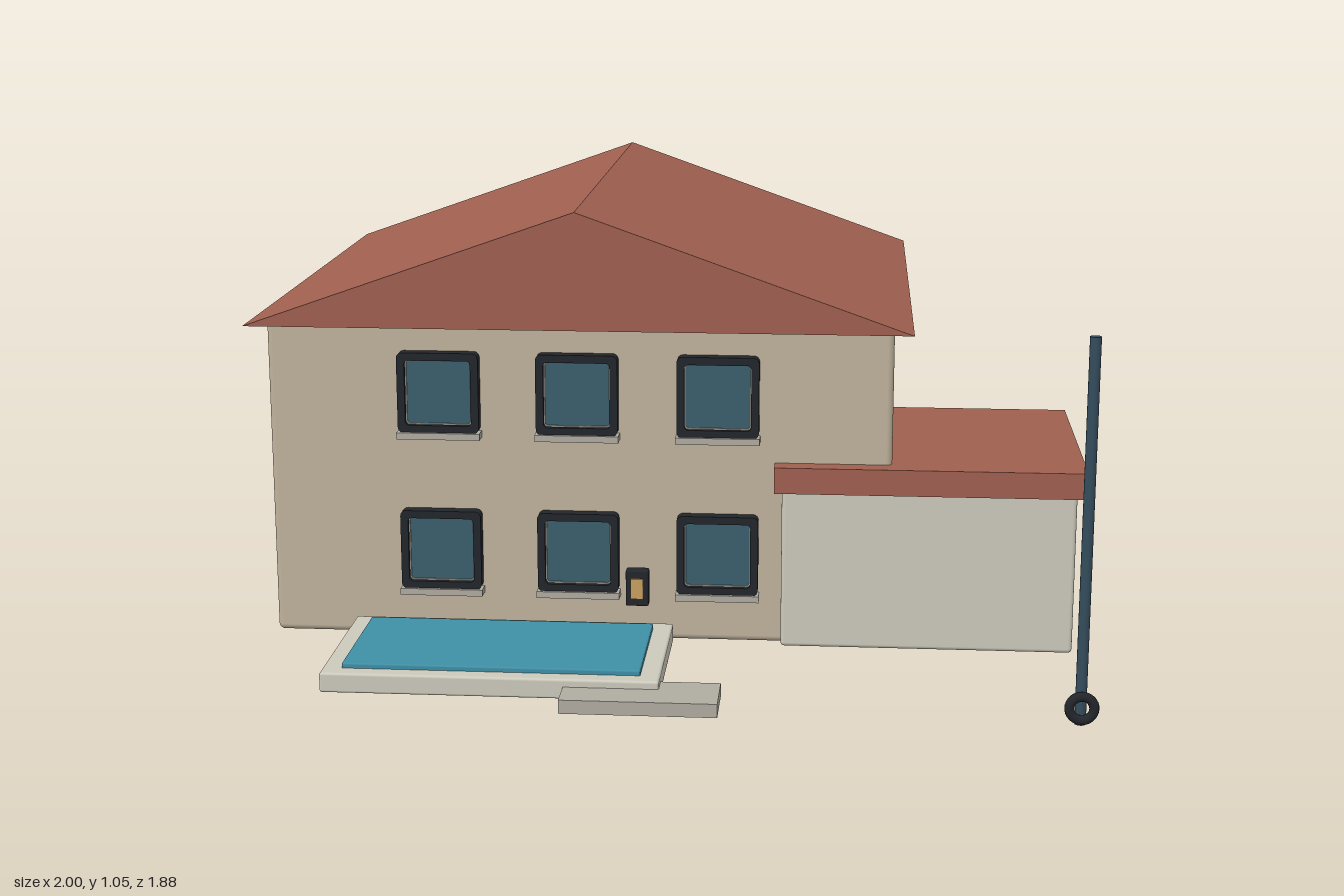
import * as THREE from 'three';
import { RoundedBoxGeometry } from 'three/addons/geometries/RoundedBoxGeometry.js';

const mat = (color) => new THREE.MeshStandardMaterial({ color });
const M = {
  wall: mat(0xc0b29c), roof: mat(0xa06050), garage: mat(0xcccabc), dark: mat(0x22252a),
  glass: mat(0x3a5f6c), trim: mat(0xb0aca2), water: mat(0x3f8fa6), pole: mat(0x344c5c), amber: mat(0xc8a060),
};

export function createModel() {
  const group = new THREE.Group();

  const add = (name, geometry, material, parent = group) => {
    const mesh = new THREE.Mesh(geometry, material);
    mesh.name = name;
    parent.add(mesh);
    return mesh;
  };

  // Box given by its extents; r > 0 rounds the edges
  const block = (name, material, [x0, x1], [y0, y1], [z0, z1], r = 0, parent = group) => {
    const s = [x1 - x0, y1 - y0, z1 - z0];
    const geo = r ? new RoundedBoxGeometry(...s, 3, r) : new THREE.BoxGeometry(...s);
    const mesh = add(name, geo, material, parent);
    mesh.position.set((x0 + x1) / 2, (y0 + y1) / 2, (z0 + z1) / 2);
    return mesh;
  };

  // Square outline with rounded corners, for the window frames
  const roundedSquare = (size, r, Type = THREE.Shape) => {
    const h = size / 2, p = new Type();
    [[1, 1, 0], [-1, 1, 1], [-1, -1, 2], [1, -1, 3]].forEach(([sx, sy, q]) =>
      p.absarc(sx * (h - r), sy * (h - r), r, q * Math.PI / 2, (q + 1) * Math.PI / 2, false));
    p.closePath();
    return p;
  };
  const ring = (outer, inner, depth, r) => {
    const shape = roundedSquare(outer, r);
    shape.holes.push(roundedSquare(inner, r * 0.7, THREE.Path));
    return new THREE.ExtrudeGeometry(shape, { depth, bevelEnabled: false, curveSegments: 4 });
  };

  // Main house and gable roof
  block('houseWalls', M.wall, [-0.955, 0.54], [0.005, 0.78], [-0.89, 0.42], 0.015);
  const gable = new THREE.Shape([[-1, 0.775], [0.585, 0.775], [-0.207, 1.055]].map((p) => new THREE.Vector2(...p)));
  add('gableRoof', new THREE.ExtrudeGeometry(gable, { depth: 1.41, bevelEnabled: false }), M.roof).position.z = -0.94;

  // Garage with slab roof
  block('garageWalls', M.garage, [0.28, 0.975], [0.005, 0.395], [-0.165, 0.45], 0.01);
  block('garageRoof', M.roof, [0.262, 0.997], [0.39, 0.453], [-0.185, 0.467]);

  // Windows: two rows of three
  const frameGeo = ring(0.195, 0.158, 0.03, 0.014);
  const trimGeo = ring(0.166, 0.152, 0.018, 0.01);
  for (const y of [0.615, 0.227]) {
    for (const x of [-0.54, -0.208, 0.127]) {
      const win = new THREE.Group();
      win.name = 'window';
      win.position.set(x, y, 0.42);
      group.add(win);
      add('windowFrame', frameGeo, M.dark, win);
      add('windowTrim', trimGeo, M.trim, win);
      block('windowGlass', M.glass, [-0.08, 0.08], [-0.08, 0.08], [-0.005, 0.014], 0, win);
      block('windowSill', M.trim, [-0.1, 0.1], [-0.112, -0.096], [-0.005, 0.038], 0, win);
    }
  }

  // Pool with step
  block('poolBorder', M.garage, [-0.755, 0.02], [0.003, 0.05], [0.43, 0.842], 0.006);
  block('poolWater', M.water, [-0.71, -0.025], [0.045, 0.062], [0.47, 0.805], 0.004);
  block('poolStep', M.trim, [-0.197, 0.157], [0, 0.032], [0.79, 0.925]);

  // Lantern
  block('lanternCase', M.dark, [-0.044, 0.006], [0.257, 0.338], [0.905, 0.932], 0.004);
  block('lanternPanel', M.amber, [-0.033, -0.005], [0.275, 0.32], [0.925, 0.938]);

  // Pole with ring at its foot
  add('pole', new THREE.CylinderGeometry(0.0125, 0.0125, 0.867, 20), M.pole).position.set(0.953, 0.4335, 0.897);
  add('poleRing', new THREE.TorusGeometry(0.027, 0.011, 12, 32), M.dark).position.set(0.953, 0.045, 0.922);

  return group;
}
